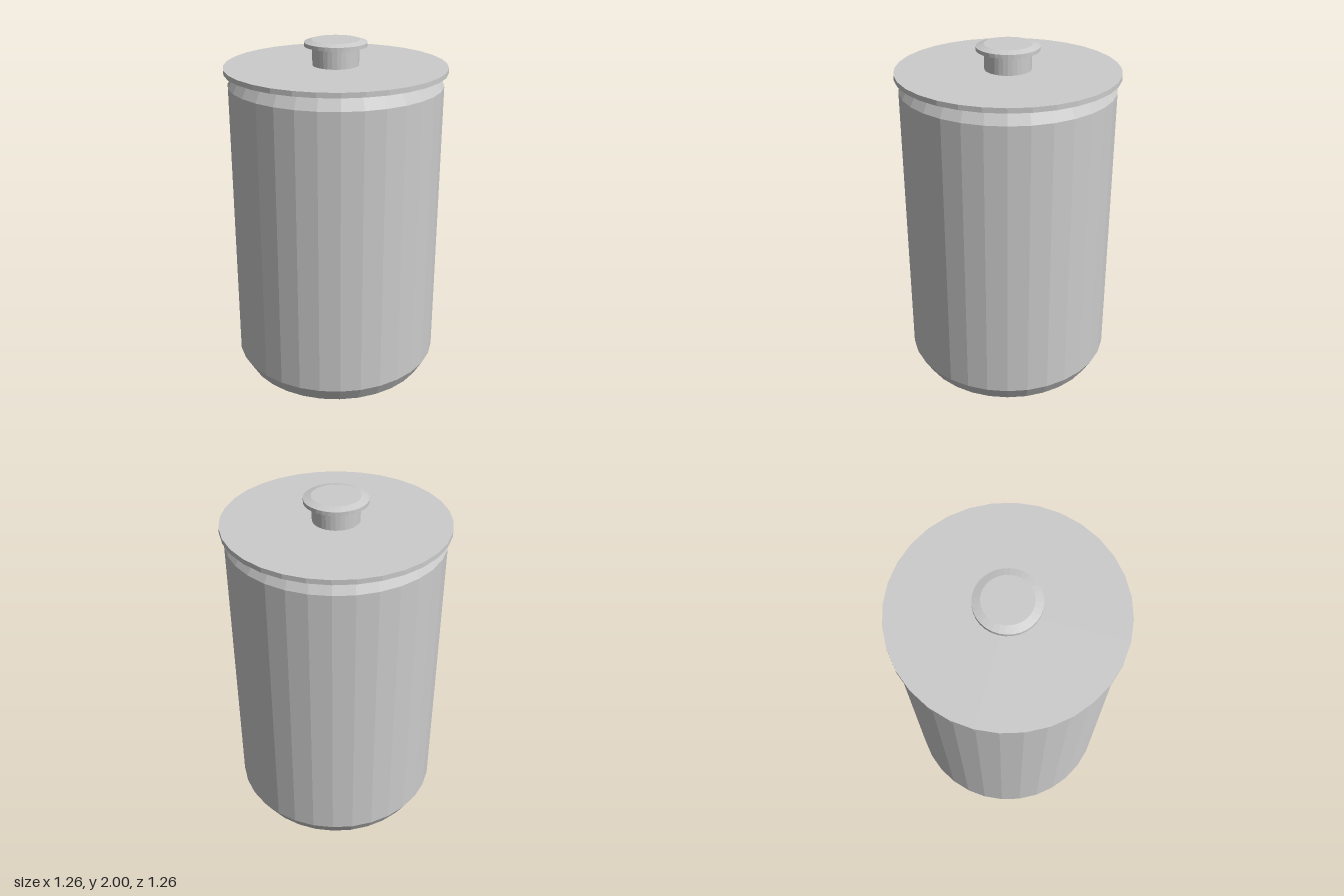
import * as THREE from 'three';

const SIDES = 32;

// Closed faceted solid turned from [radius, height] pairs, bottom to top
function turned(name, profile, material) {
  const points = profile.map(([r, y]) => new THREE.Vector2(r, y));
  const mesh = new THREE.Mesh(new THREE.LatheGeometry(points, SIDES), material);
  mesh.name = name;
  return mesh;
}

export function createModel() {
  const model = new THREE.Group();
  model.name = 'lidded canister';
  const grey = new THREE.MeshStandardMaterial({ color: 0xcccccc, flatShading: true });

  // Body with bevelled foot and shoulder
  model.add(turned('body', [
    [0, 0], [0.56, 0], [0.611, 0.09], [0.611, 1.755], [0.57, 1.83], [0, 1.83],
  ], grey));

  // Thin overhanging lid
  model.add(turned('lid', [
    [0, 1.83], [0.632, 1.83], [0.632, 1.858], [0, 1.858],
  ], grey));

  // Knob: stem and bevelled cap
  const knob = new THREE.Group();
  knob.name = 'knob';
  knob.add(turned('knobStem', [
    [0, 1.85], [0.132, 1.85], [0.132, 1.97], [0, 1.97],
  ], grey));
  knob.add(turned('knobCap', [
    [0, 1.966], [0.178, 1.966], [0.178, 1.987], [0.135, 2], [0, 2],
  ], grey));
  model.add(knob);

  return model;
}
